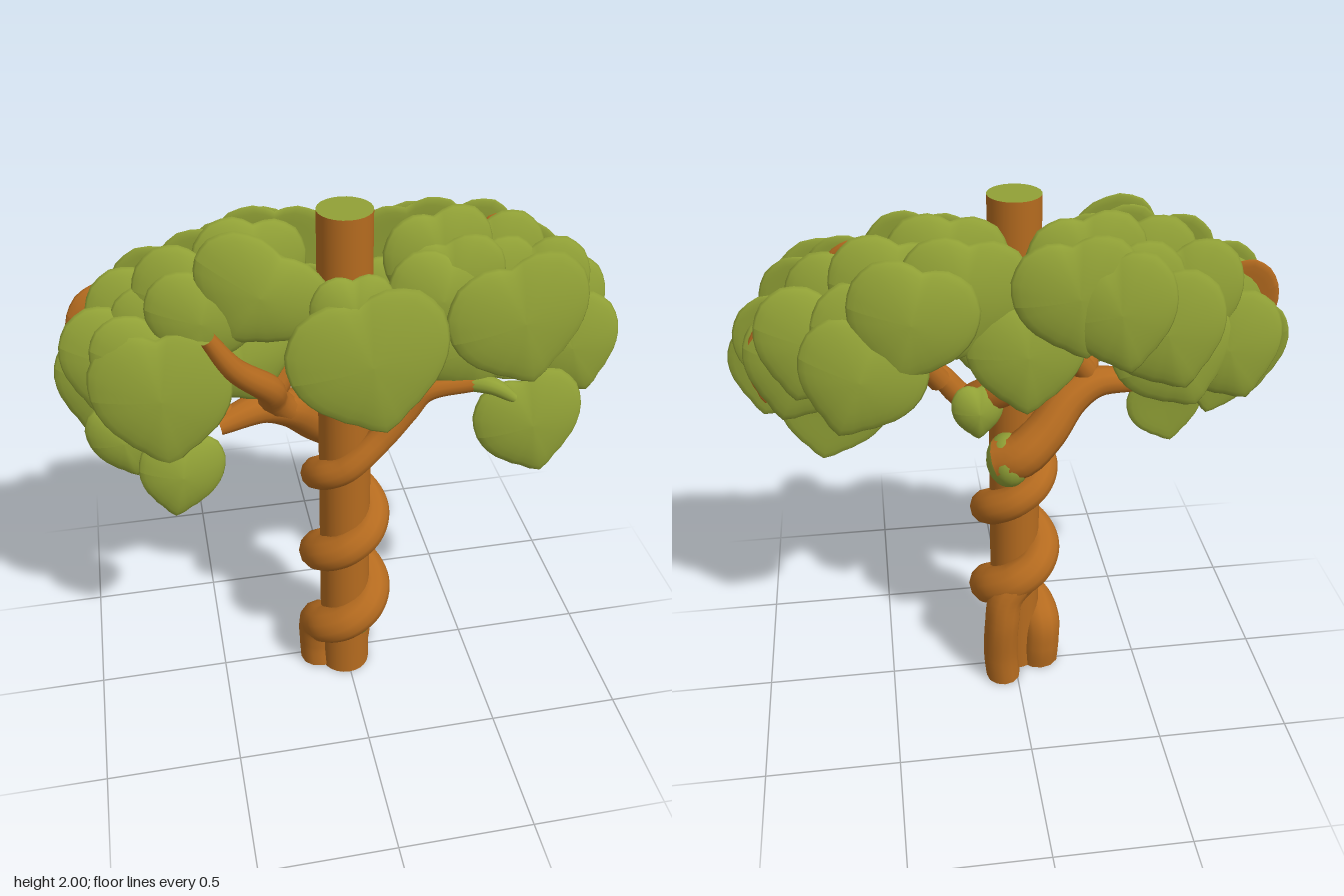
import * as THREE from 'three';

const brown = new THREE.MeshStandardMaterial({ color: 0xb56b1f });
brown.name = 'bark brown';
const green = new THREE.MeshStandardMaterial({ color: 0x91a136 });
green.name = 'leaf green';

// Tapered tube through points, from radius r0 to r1
function limb(name, points, r0, r1, segments = 24, material = brown) {
  const curve = new THREE.CatmullRomCurve3(points.map((p) => new THREE.Vector3(...p)));
  const sides = 12;
  const geo = new THREE.TubeGeometry(curve, segments, 1, sides);
  const pos = geo.attributes.position;
  const v = new THREE.Vector3();
  for (let i = 0; i < pos.count; i++) {
    const t = Math.floor(i / (sides + 1)) / segments;
    const centre = curve.getPointAt(t);
    v.fromBufferAttribute(pos, i).sub(centre);
    v.multiplyScalar(r0 + (r1 - r0) * t * t).add(centre);
    pos.setXYZ(i, v.x, Math.max(v.y, 0), v.z);
  }
  const mesh = new THREE.Mesh(geo, material);
  mesh.name = name;
  return mesh;
}

// Rounded green lump where a limb is cut
function cutEnd(name, radius, position, scale) {
  const mesh = new THREE.Mesh(new THREE.SphereGeometry(radius, 20, 14), green);
  mesh.name = name;
  mesh.position.set(...position);
  mesh.scale.set(...scale);
  return mesh;
}

// Puffy heart: a sphere flattened and pushed out to a heart outline
function heartGeometry() {
  const outline = [0.4, 0.49, 0.545, 0.545, 0.51, 0.47, 0.44, 0.45, 0.53];
  const geo = new THREE.SphereGeometry(1, 32, 12).rotateX(Math.PI / 2);
  const pos = geo.attributes.position;
  for (let i = 0; i < pos.count; i++) {
    const x = pos.getX(i), y = pos.getY(i), z = pos.getZ(i);
    const f = (Math.abs(Math.atan2(x, y)) / Math.PI) * 8;
    const k = Math.min(Math.floor(f), 7);
    const r = outline[k] + (outline[k + 1] - outline[k]) * (f - k);
    const bend = 0.05 * (x * x + y * y);
    pos.setXYZ(i, x * r, y * r, z * 0.065 - bend + 0.02);
  }
  geo.computeVertexNormals();
  return geo;
}

// Heart-shaped leaves, drooping outward on both faces of the crown
function foliage() {
  const group = new THREE.Group();
  group.name = 'foliage';
  const heart = heartGeometry();
  const addLeaf = (name, material, x, y, z, w, h, roll) => {
    const back = z < -0.03;
    const yaw = 0.08 * Math.sin(group.children.length * 2.4);
    const leaf = new THREE.Mesh(heart, material);
    leaf.name = name;
    leaf.position.set(x, y, z);
    leaf.scale.set(w, h * 1.05, 0.42);
    leaf.rotation.set(back ? 0.1 : -0.1, (back ? Math.PI : 0) + yaw, back ? -roll : roll);
    group.add(leaf);
  };

  // Large front leaves: x, y, z, width, height, roll
  const front = [
    [0.05, 1.52, 0.22, 0.54, 0.5, 0.2], [0.57, 1.61, 0.19, 0.49, 0.45, 0.25],
    [-0.64, 1.43, 0.15, 0.46, 0.48, 0], [-0.6, 1.11, 0.15, 0.29, 0.32, -0.2],
    [0.65, 1.17, 0.16, 0.39, 0.4, 0.25], [-0.3, 1.76, 0.12, 0.46, 0.34, -0.6],
    [-0.36, 1.5, 0.08, 0.36, 0.3, 0.3], [0.42, 1.49, 0.13, 0.42, 0.3, 0.3],
    [0.3, 1.69, 0.13, 0.36, 0.32, -0.3], [0, 1.67, 0.17, 0.28, 0.3, 0],
    [-0.78, 1.24, 0.09, 0.24, 0.28, 0.2],
  ];
  for (const leaf of front) addLeaf('frontLeaf', green, ...leaf);

  // Mirrored arches of leaves filling the dome behind
  const arch = (name, count, first, last, reachX, baseY, rise, z, w, h) => {
    for (const side of [-1, 1]) {
      for (let i = 0; i < count; i++) {
        const a = first + ((last - first) * i) / (count - 1);
        const depth = z + 0.025 * Math.cos(i * Math.PI) * side;
        addLeaf(name, green, side * reachX * Math.sin(a), baseY + rise * Math.cos(a), depth, w, h, side * 0.4 * Math.sin(a));
      }
    }
  };
  arch('middleLeaf', 4, 0.5, 1.25, 0.72, 1.43, 0.34, 0.08, 0.36, 0.32);
  arch('outerLeaf', 5, 0.4, 1.57, 0.81, 1.41, 0.41, 0.03, 0.37, 0.37);
  arch('innerLeaf', 4, 0.35, 1.57, 0.58, 1.4, 0.26, -0.01, 0.36, 0.33);
  arch('rearLeaf', 5, 0.32, 1.45, 0.74, 1.42, 0.39, -0.09, 0.4, 0.38);
  arch('backLeaf', 4, 0.35, 1.5, 0.54, 1.46, 0.29, -0.18, 0.42, 0.4);
  addLeaf('backLeaf', green, -0.02, 1.52, -0.18, 0.4, 0.4, 0);
  addLeaf('backLeaf', green, 0.05, 1.58, -0.12, 0.42, 0.36, 0.2);
  addLeaf('backLeaf', green, -0.32, 1.68, -0.23, 0.38, 0.4, -0.2);
  addLeaf('smallLeaf', green, 0.14, 1.27, -0.1, 0.18, 0.2, 0);

  // A few brown leaves at the edge of the crown
  addLeaf('dryLeaf', brown, -0.79, 1.6, -0.02, 0.28, 0.32, -0.5);
  addLeaf('dryLeaf', brown, 0.54, 1.76, -0.01, 0.22, 0.28, 0.6);
  addLeaf('dryLeaf', brown, 0.8, 1.49, -0.02, 0.24, 0.34, 0.4);
  return group;
}

export function createModel() {
  const model = new THREE.Group();
  model.name = 'vineTree';

  // Straight post with green ends
  const post = new THREE.Mesh(new THREE.CylinderGeometry(0.093, 0.097, 2, 24), [brown, green, green]);
  post.name = 'post';
  post.position.set(-0.007, 1, 0.05);
  model.add(post);

  // Main vine winds round the post, then leaves it as the bough on the +x side
  const winding = [[-0.105, 0, 0.02], [-0.108, 0.1, 0.01]];
  for (let y = 0.2; y < 1.06; y += 0.375 / 8) {
    const a = ((y - 0.3) / 0.375) * Math.PI * 2;
    winding.push([-0.005 + 0.104 * Math.sin(a), y, 0.035 + 0.104 * Math.cos(a)]);
  }
  winding.push([0.12, 1.155, 0.12], [0.2, 1.24, 0.11], [0.27, 1.32, 0.11], [0.44, 1.35, 0.13]);
  model.add(limb('windingVine', winding, 0.08, 0.036, 180));
  model.add(cutEnd('vinePatch', 0.05, [0.03, 0.262, 0.13], [1, 1, 1]));

  // Second vine rising from the ground at the back
  model.add(limb('backVine', [[0.055, 0, -0.07], [0.065, 0.12, -0.075], [0.06, 0.3, -0.09],
    [0.04, 0.42, -0.08], [-0.05, 0.52, -0.06]], 0.068, 0.07));

  // Green undersides of the two vines
  for (const [x, z] of [[-0.105, 0.02], [0.055, -0.07]]) {
    const foot = new THREE.Mesh(new THREE.CircleGeometry(0.07, 20).rotateX(Math.PI / 2), green);
    foot.name = 'vineFoot';
    foot.position.set(x, 0.001, z);
    model.add(foot);
  }

  // Boughs on the -x side
  model.add(
    limb('lowBough', [[0.06, 1.04, -0.065], [-0.01, 1.07, -0.09], [-0.1, 1.14, -0.06],
      [-0.2, 1.24, 0], [-0.3, 1.28, 0.04], [-0.46, 1.25, 0.08]], 0.085, 0.038),
    limb('highBough', [[-0.18, 1.21, 0], [-0.26, 1.32, 0.06], [-0.28, 1.4, 0.12],
      [-0.4, 1.53, 0.18], [-0.48, 1.66, 0.19]], 0.055, 0.028),
    limb('forkTwig', [[-0.26, 1.33, 0.04], [-0.19, 1.45, 0], [-0.2, 1.6, -0.05]], 0.045, 0.025),
    limb('outerTwig', [[-0.4, 1.27, 0.06], [-0.55, 1.35, 0.05], [-0.82, 1.6, 0]], 0.034, 0.018),
  );

  // Boughs on the +x side
  model.add(
    limb('innerBough', [[0.15, 1.18, 0.1], [0.12, 1.28, -0.02], [0, 1.37, -0.09], [-0.13, 1.46, -0.09]], 0.068, 0.05),
    limb('highBough', [[0.26, 1.3, 0.09], [0.36, 1.45, 0.04], [0.58, 1.8, 0]], 0.044, 0.02),
    limb('outerTwig', [[0.4, 1.35, 0.1], [0.58, 1.38, 0.05], [0.74, 1.44, 0.03]], 0.034, 0.018),
    limb('leafStem', [[0.43, 1.35, 0.13], [0.5, 1.34, 0.16], [0.58, 1.28, 0.16]], 0.034, 0.016, 24, green),
  );

  // Green end of the low bough
  model.add(cutEnd('boughEnd', 0.102, [0.03, 1.04, -0.065], [0.8, 1, 1]));

  model.add(foliage());
  return model;
}
